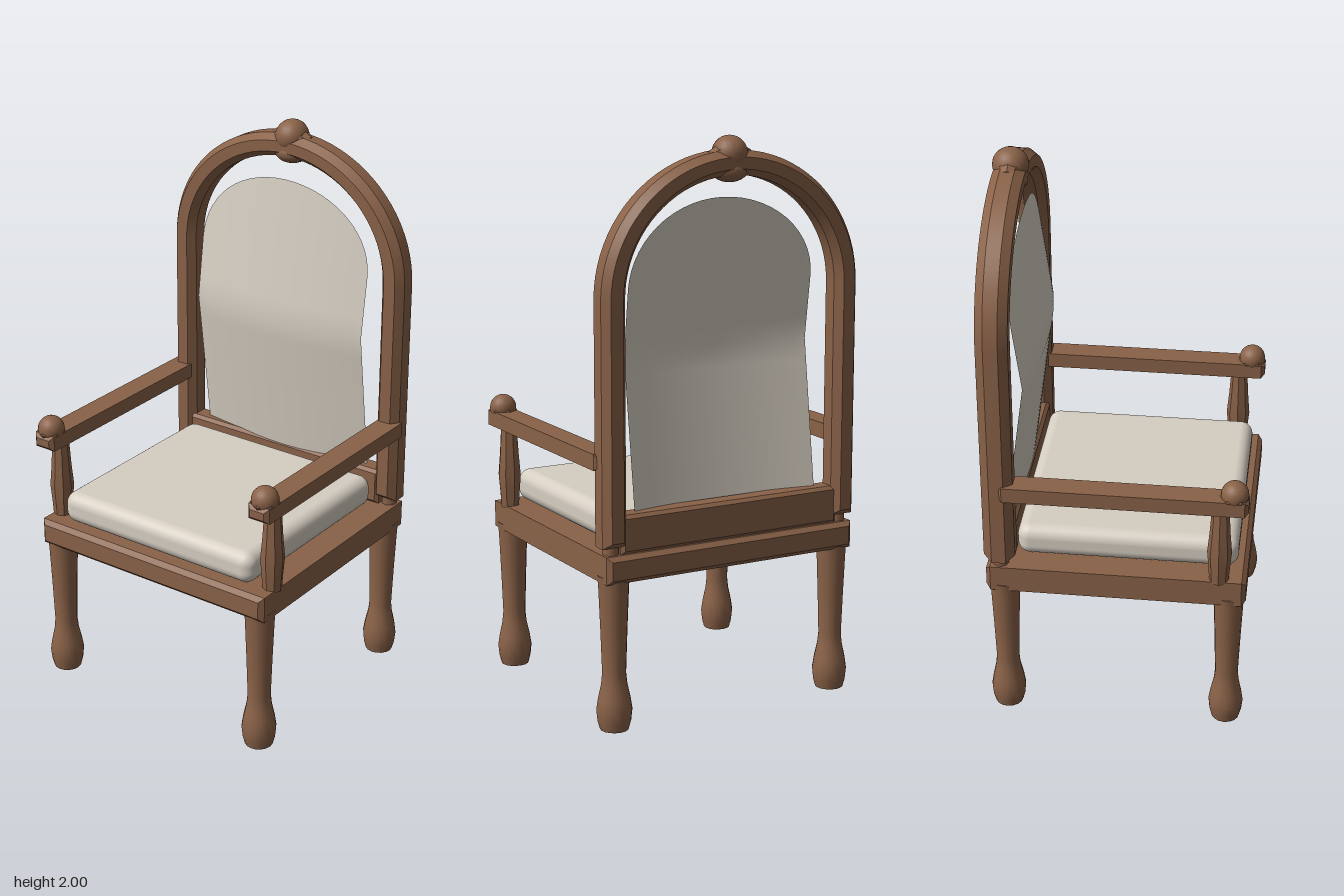
import * as THREE from 'three';
import { toCreasedNormals } from 'three/addons/utils/BufferGeometryUtils.js';
import { RoundedBoxGeometry } from 'three/addons/geometries/RoundedBoxGeometry.js';

const wood = new THREE.MeshStandardMaterial({ color: 0x8a6248 });
wood.name = 'brownWood';
const fabric = new THREE.MeshStandardMaterial({ color: 0xd6cec2, side: THREE.DoubleSide });
fabric.name = 'creamFabric';

function add(parent, name, geometry, material, x = 0, y = 0, z = 0) {
  const mesh = new THREE.Mesh(geometry, material);
  mesh.name = name;
  mesh.position.set(x, y, z);
  parent.add(mesh);
  return mesh;
}

// Box with chamfered edges, centred on its origin
function chamferBox(w, h, d, c) {
  const x = w / 2 - c, y = h / 2 - c;
  const shape = new THREE.Shape([[-x, -y], [x, -y], [x, y], [-x, y]].map(p => new THREE.Vector2(...p)));
  const g = new THREE.ExtrudeGeometry(shape, {
    depth: d - 2 * c, bevelEnabled: true, bevelThickness: c, bevelSize: c, bevelSegments: 1,
  });
  return g.translate(0, 0, -d / 2 + c);
}

function lathe(profile, sides, crease = 0.9) {
  const g = new THREE.LatheGeometry(profile.map(p => new THREE.Vector2(...p)), sides);
  return toCreasedNormals(g, crease);
}

// Arched back frame: a band with chamfered front and back edges
function archGeometry() {
  const spring = 1.48, foot = 0.67, outer = 0.478, inner = 0.432, b = 0.022;
  const shape = new THREE.Shape();
  shape.moveTo(outer, foot);
  shape.lineTo(outer, spring);
  shape.absellipse(0, spring, outer, 0.45, 0, Math.PI, false);
  shape.lineTo(-outer, foot);
  shape.lineTo(-inner, foot);
  shape.lineTo(-inner, spring);
  shape.absellipse(0, spring, inner, 0.41, Math.PI, 0, true);
  shape.lineTo(inner, foot);
  const g = new THREE.ExtrudeGeometry(shape, {
    depth: 0.05, curveSegments: 20, bevelEnabled: true, bevelThickness: 0.03, bevelSize: b, bevelSegments: 1,
  });
  g.translate(0, 0, -0.425);
  return toCreasedNormals(g, 0.4);
}

// Upholstered back: rounded-top sheet, bowed sideways and fullest at mid height
function panelGeometry() {
  const rows = [], cols = 20, spring = 1.5, half = 0.36, rise = 0.29;
  for (let i = 0; i < 7; i++) rows.push([0.74 + (1.275 - 0.74) * i / 7, half]);
  for (let i = 0; i < 3; i++) rows.push([1.275 + 0.225 * i / 3, half]);
  for (let i = 0; i <= 14; i++) {
    const a = Math.PI / 2 * i / 14;
    rows.push([spring + rise * Math.sin(a), half * Math.cos(a)]);
  }
  const pos = [], index = [];
  rows.forEach(([y, w], r) => {
    for (let c = 0; c <= cols; c++) {
      const x = w * (2 * c / cols - 1);
      pos.push(x, y, -0.287 - 0.035 * (x / half) ** 2 - 0.135 * Math.abs(y - 1.275));
      if (r < rows.length - 1 && c < cols) {
        const a = r * (cols + 1) + c, d = a + cols + 1;
        index.push(a, a + 1, d, a + 1, d + 1, d);
      }
    }
  });
  const g = new THREE.BufferGeometry();
  g.setAttribute('position', new THREE.Float32BufferAttribute(pos, 3));
  g.setIndex(index);
  g.computeVertexNormals();
  return g;
}

export function createModel() {
  const chair = new THREE.Group();
  chair.name = 'armchair';

  // Seat
  add(chair, 'seatFrame', chamferBox(0.98, 0.097, 0.915, 0.016), wood, 0, 0.573, 0.007);
  add(chair, 'seatCushion', new RoundedBoxGeometry(0.83, 0.118, 0.78, 5, 0.045), fabric, 0, 0.682, 0.04);

  // Legs with a swollen foot
  const leg = lathe([[0, 0], [0.05, 0], [0.058, 0.03], [0.062, 0.07], [0.056, 0.11], [0.045, 0.16],
    [0.041, 0.2], [0.046, 0.35], [0.052, 0.5], [0.055, 0.545], [0, 0.545]], 16);
  for (const x of [-0.44, 0.44]) {
    add(chair, 'frontLeg', leg, wood, x, 0, 0.403);
    add(chair, 'backLeg', leg, wood, x, 0, -0.39);
  }

  // Back
  add(chair, 'backArch', archGeometry(), wood);
  add(chair, 'backPanel', panelGeometry(), fabric);
  add(chair, 'backRail', chamferBox(0.86, 0.135, 0.08, 0.012), wood, 0, 0.688, -0.395);
  for (const x of [-0.455, 0.455]) {
    add(chair, 'archPeg', new THREE.CylinderGeometry(0.028, 0.028, 0.06, 10), wood, x, 0.635, -0.4);
  }

  // Crest ornament on top of the arch
  const crest = new THREE.Group();
  crest.name = 'crest';
  chair.add(crest);
  const ball = new THREE.SphereGeometry(1, 20, 14);
  add(crest, 'crestBall', ball, wood, 0, 1.94, -0.4).scale.set(0.06, 0.06, 0.063);
  add(crest, 'crestLowerBall', ball, wood, 0, 1.885, -0.4).scale.set(0.065, 0.042, 0.058);
  const spindle = lathe([[0, -0.088], [0.025, -0.08], [0.052, -0.03], [0.052, 0.03], [0.025, 0.08], [0, 0.088]], 8, 0.3);
  add(crest, 'crestSpindle', spindle, wood, 0, 1.925, -0.4).rotation.z = Math.PI / 2;

  // Arms, mirrored
  const post = lathe([[0.034, 0], [0.037, 0.05], [0.043, 0.12], [0.036, 0.2], [0.03, 0.3]], 8, 0.5);
  const collar = lathe([[0, -0.035], [0.035, -0.03], [0.052, 0], [0.035, 0.03], [0, 0.035]], 6, 0.3);
  for (const side of [-1, 1]) {
    const arm = new THREE.Group();
    arm.name = side > 0 ? 'leftArm' : 'rightArm';
    chair.add(arm);
    const x = side * 0.466;
    add(arm, 'armRest', chamferBox(0.085, 0.056, 0.86, 0.014), wood, x, 0.938, 0.035);
    add(arm, 'armPost', post, wood, x, 0.615, 0.368);
    add(arm, 'armCollar', collar, wood, x, 0.965, 0.415);
    add(arm, 'armKnob', ball, wood, x, 0.977, 0.415).scale.setScalar(0.048);
  }
  return chair;
}
